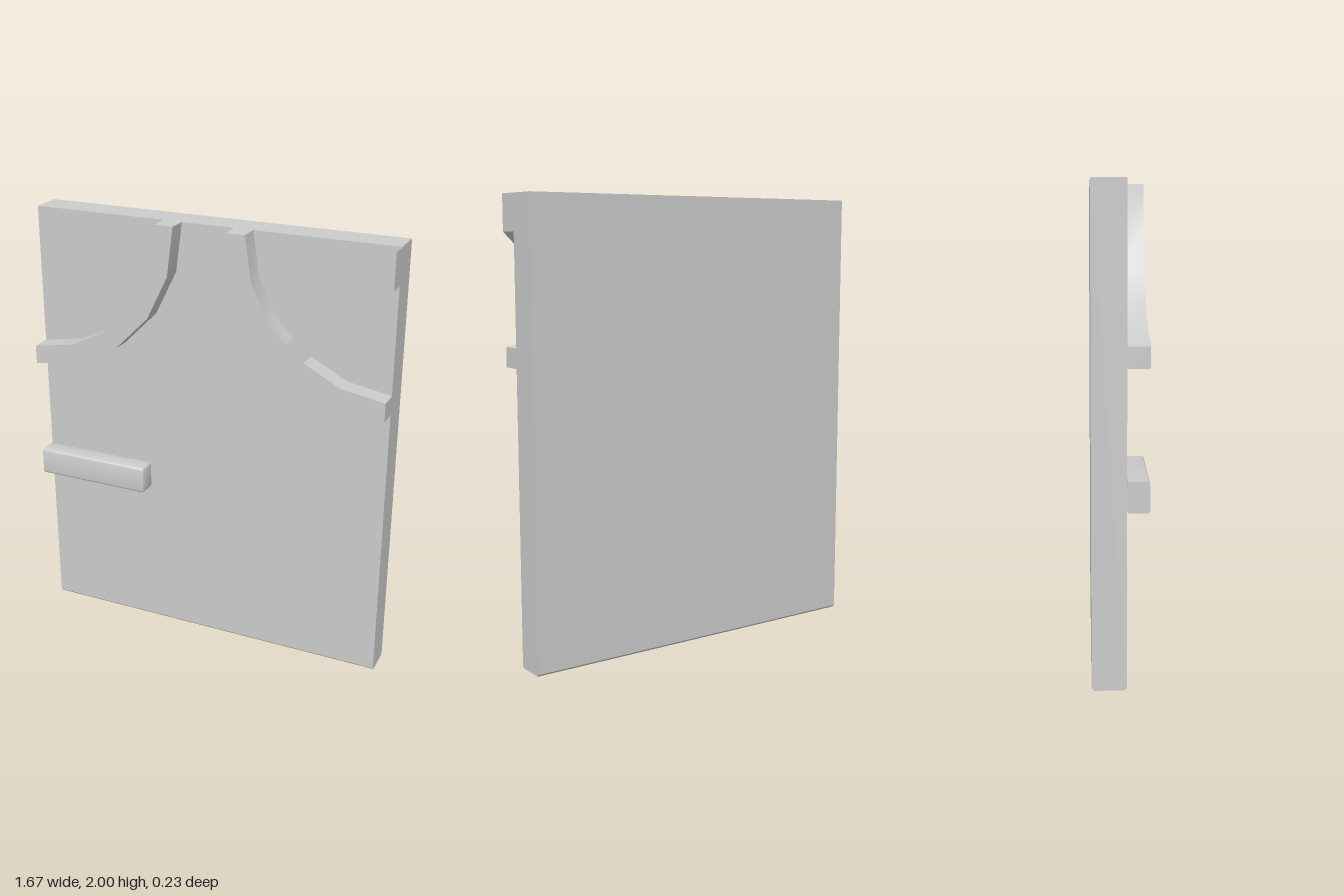
import * as THREE from 'three';
import { toCreasedNormals } from 'three/addons/utils/BufferGeometryUtils.js';
import { RoundedBoxGeometry } from 'three/addons/geometries/RoundedBoxGeometry.js';

const LEFT = -0.835, RIGHT = 0.83;
const FACE = 0.025, FRONT = 0.115, BACK = -0.115;

const material = new THREE.MeshStandardMaterial({ color: 0xcccccc });

function extrude(points, depth) {
  const shape = new THREE.Shape(points.map(([x, y]) => new THREE.Vector2(x, y)));
  return new THREE.ExtrudeGeometry(shape, { depth, bevelEnabled: false });
}

function addPart(group, name, geometry) {
  const mesh = new THREE.Mesh(toCreasedNormals(geometry, 0.55), material);
  mesh.name = name;
  group.add(mesh);
}

// Raised rib standing on the panel face, from its front outline
function rib(points) {
  return extrude(points, FRONT - FACE + 0.005).translate(0, 0, FACE - 0.005);
}

export function createModel() {
  const group = new THREE.Group();
  group.name = 'reliefPanel';

  // Panel: side profile with eased bottom edges, extruded across the width
  const b = 0.01;
  const panel = extrude([
    [BACK + b, 0], [FACE - b, 0], [FACE, b], [FACE, 2], [BACK, 2], [BACK, b],
  ], RIGHT - LEFT);
  panel.rotateY(-Math.PI / 2).translate(RIGHT, 0, 0);
  addPart(group, 'panel', panel);

  // Curved rib in the upper corner
  addPart(group, 'curvedRib', rib([
    [LEFT, 1.285], [-0.615, 1.32], [-0.415, 1.42], [-0.255, 1.58], [-0.155, 1.78], [-0.125, 2],
    [-0.21, 2], [-0.24, 1.805], [-0.325, 1.635], [-0.465, 1.49], [-0.64, 1.405], [LEFT, 1.37],
  ]));

  // Opposite curved rib joined with the diagonal rib that crosses it
  addPart(group, 'crossedRibs', rib([
    [0.115, 2], [0.145, 1.78], [0.245, 1.58], [0.325, 1.5],
    [0.05, 1.225], [0.205, 1.225], [0.405, 1.42],
    [0.61, 1.32], [RIGHT, 1.285], [RIGHT, 1.37], [0.63, 1.405], [0.47, 1.49],
    [0.833, 1.845], [0.833, 2], [0.39, 1.56],
    [0.315, 1.635], [0.23, 1.805], [0.2, 2],
  ]));

  // Short horizontal bar: rounded edges, cut flat at the panel's side
  const length = 0.54, depth = FRONT - FACE;
  const bar = new RoundedBoxGeometry(length, 0.125, depth, 2, 0.012);
  const pos = bar.attributes.position;
  for (let i = 0; i < pos.count; i++) if (pos.getX(i) < 0) pos.setX(i, -length / 2);
  bar.translate(LEFT + length / 2, 0.7825, FACE + depth / 2);
  addPart(group, 'horizontalBar', bar);

  return group;
}
